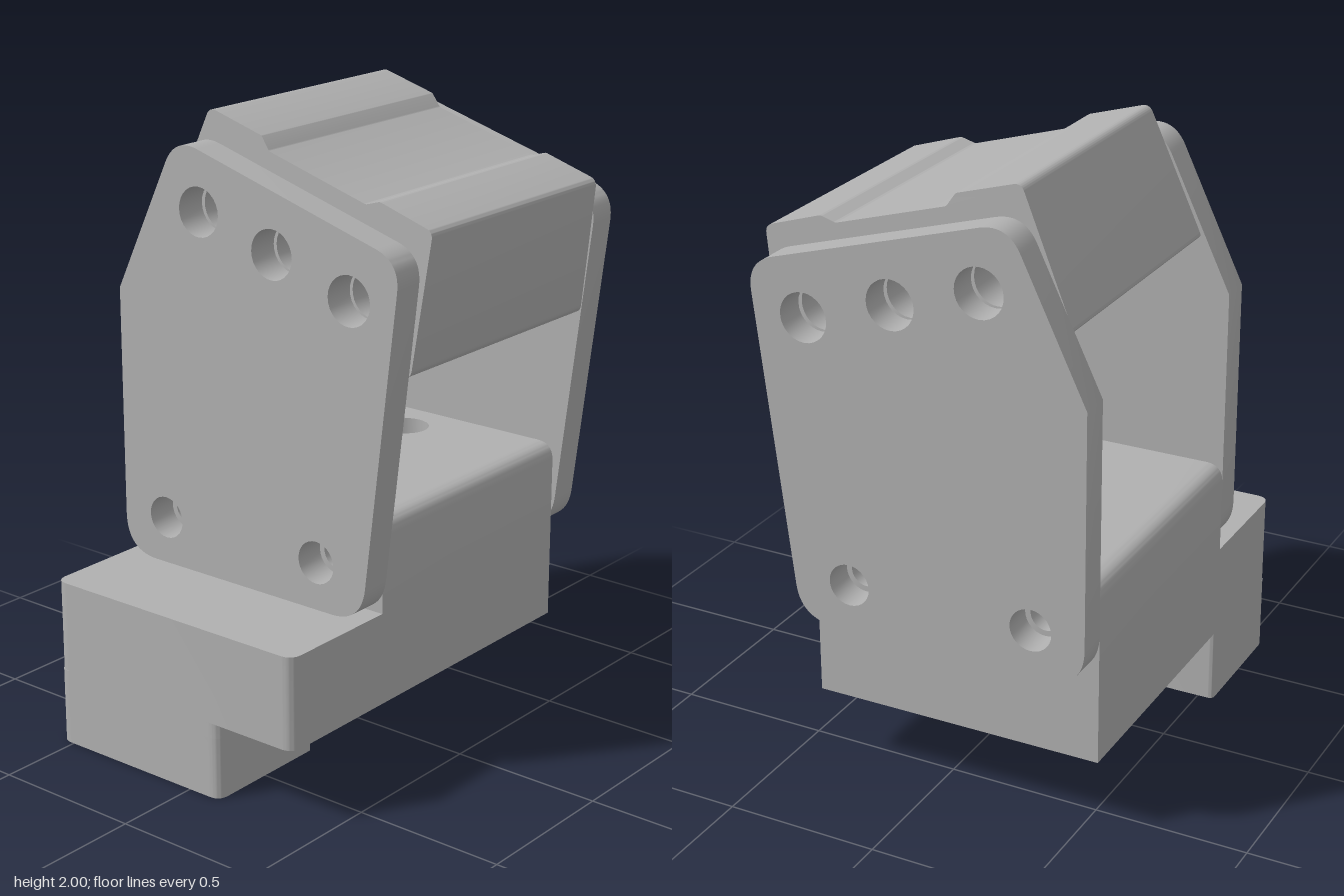
import * as THREE from 'three';
import { toCreasedNormals } from 'three/addons/utils/BufferGeometryUtils.js';

const grey = new THREE.MeshStandardMaterial({ color: 0xb0b0b0 });
grey.name = 'plain grey';

// Polygon [x, y, cornerRadius] with rounded corners and round holes [x, y, radius]
function roundedShape(points, holes = []) {
  const shape = new THREE.Shape();
  const n = points.length;
  points.forEach(([x, y, r = 0], i) => {
    const p = new THREE.Vector2(x, y);
    const a = new THREE.Vector2(...points[(i + n - 1) % n].slice(0, 2)).sub(p).normalize();
    const b = new THREE.Vector2(...points[(i + 1) % n].slice(0, 2)).sub(p).normalize();
    const t = r ? r / Math.tan(Math.acos(a.dot(b)) / 2) : 0;
    const s = p.clone().addScaledVector(a, t);
    const e = p.clone().addScaledVector(b, t);
    if (i === 0) shape.moveTo(s.x, s.y);
    else shape.lineTo(s.x, s.y);
    if (r) shape.quadraticCurveTo(x, y, e.x, e.y);
  });
  shape.closePath();
  for (const [x, y, r] of holes) {
    shape.holes.push(new THREE.Path().absarc(x, y, r, 0, Math.PI * 2, true));
  }
  return shape;
}

function extrude(shape, depth) {
  return new THREE.ExtrudeGeometry(shape, { depth, bevelEnabled: false, curveSegments: 14 });
}

function part(name, geometry) {
  const mesh = new THREE.Mesh(toCreasedNormals(geometry, 0.5), grey);
  mesh.name = name;
  return mesh;
}

// Profile in x/y, swept from z0 to z1
function alongZ(name, points, holes, z0, z1) {
  return part(name, extrude(roundedShape(points, holes), z1 - z0).translate(0, 0, z0));
}

// Plan in x/z, swept from y0 to y1
function alongY(name, points, holes, y0, y1) {
  const flip = ([x, z, r]) => [x, -z, r];
  const geo = extrude(roundedShape(points.map(flip), holes.map(flip)), y1 - y0);
  return part(name, geo.rotateX(-Math.PI / 2).translate(0, y0, 0));
}

export function createModel() {
  const model = new THREE.Group();
  model.name = 'bracket';
  const L = -0.555, R = 0.405, back = -0.62, step = 0.287, front = 0.715;
  const lowerHoles = [[-0.38, 0.705], [0.23, 0.705]];
  const upperHoles = [[-0.22, 1.72, 0.078], [0.065, 1.635, 0.078], [0.355, 1.545, 0.078]];
  const bores = [[-0.08, -0.46], [-0.08, 0.16]];

  // Foot with a blind hole from below
  const foot = [[L, 0.27, 0.02], [L, front, 0.04], [0.115, front, 0.04], [0.115, 0.27, 0.02]];
  model.add(alongY('foot', foot, [[-0.39, 0.55, 0.055]], 0, 0.2));
  model.add(alongY('footTop', foot, [], 0.2, 0.25));

  // Base slab with two vertical screw holes
  model.add(alongY('baseSlab',
    [[L, back], [L, front, 0.045], [R, front, 0.045], [R, back]],
    bores.map(([x, z]) => [x, z, 0.055]), 0.25, 0.55));

  // Raised block: bored middle, rounded shoulders with cross holes
  const m0 = -0.25, m1 = 0.1, top = 0.85;
  model.add(alongY('blockMiddle',
    [[m0, back], [m0, step], [m1, step], [m1, back]],
    bores.map(([x, z]) => [x, z, 0.08]), 0.55, top));
  model.add(alongZ('blockShoulderRight',
    [[L, 0.55], [m0, 0.55], [m0, top], [L, top, 0.06]],
    [[...lowerHoles[0], 0.05]], back, step));
  model.add(alongZ('blockShoulderLeft',
    [[m1, 0.55], [R, 0.55], [R, top, 0.06], [m1, top]],
    [[...lowerHoles[1], 0.05]], back, step));

  // Matching side plates
  const plate = [
    [L, 0.552, 0.13], [R, 0.552, 0.13], [0.54, 1.69, 0.11],
    [-0.31, 1.937, 0.11], [L, 1.43],
  ];
  const plateHoles = [...upperHoles, ...lowerHoles.map(([x, y]) => [x, y, 0.068])];
  model.add(alongZ('frontPlate', plate, plateHoles, step, 0.39));
  model.add(alongZ('backPlate', plate, plateHoles, -0.72, back));

  // Tilted head block with a shallow recess on top and drafted ends
  const head = extrude(roundedShape([
    [-0.46, 1.605, 0.015], [0.497, 1.305, 0.03], [0.556, 1.755, 0.03],
    [0.365, 1.815, 0.02], [0.315, 1.8, 0.02], [-0.05, 1.907, 0.02],
    [-0.08, 1.95, 0.02], [-0.285, 2.01, 0.03],
  ], upperHoles), 1).translate(0, 0, -0.5);
  const pos = head.attributes.position;
  for (let i = 0; i < pos.count; i++) {
    const height = (pos.getY(i) + 0.3 * pos.getX(i) - 1.46) / 0.46;
    pos.setZ(i, -0.165 + pos.getZ(i) * (0.893 - 0.043 * height));
  }
  head.computeVertexNormals();
  model.add(part('headBlock', head));

  model.rotation.y = 0.007;
  return model;
}
